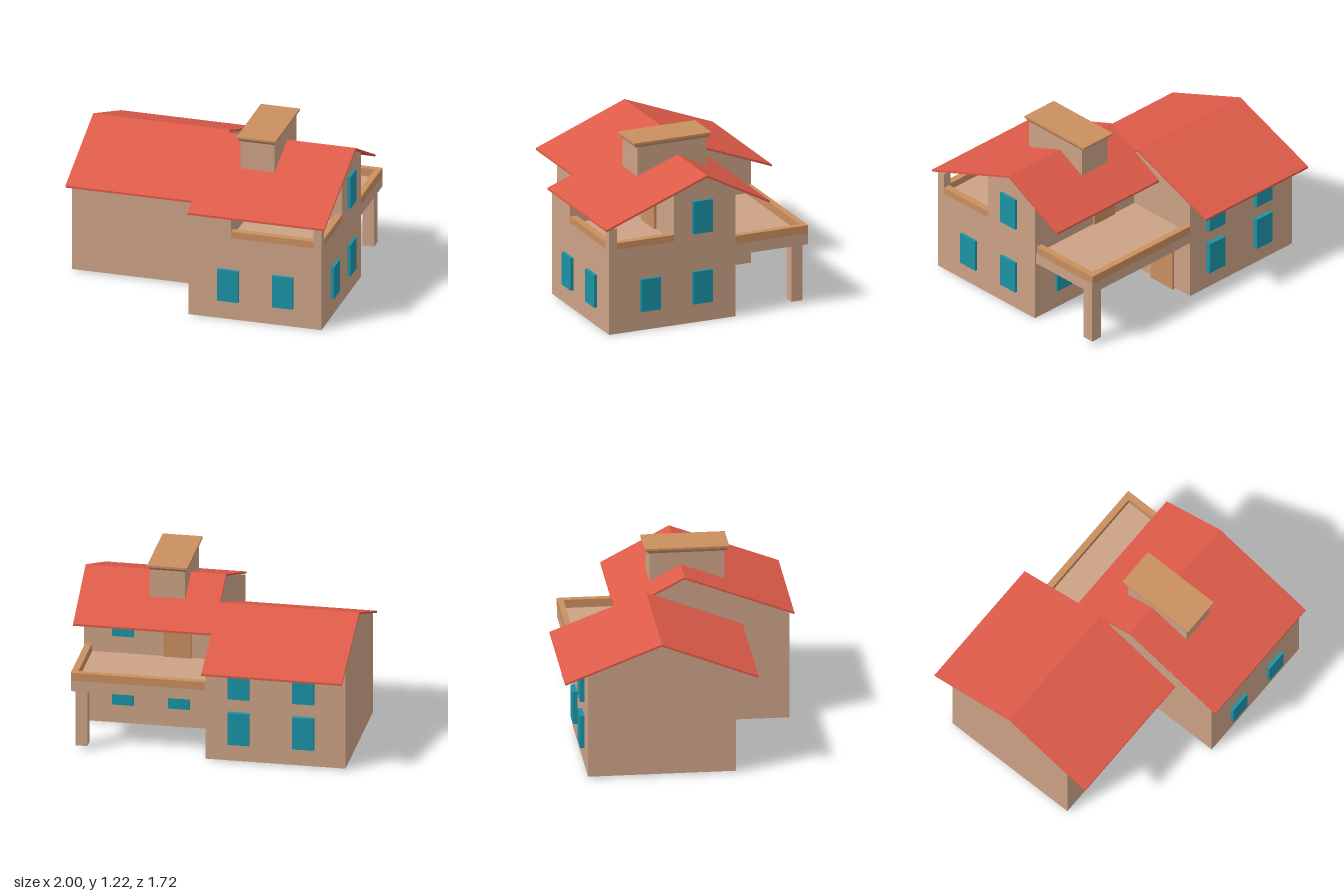
import * as THREE from 'three';

const mat = (color) => new THREE.MeshStandardMaterial({ color, side: THREE.DoubleSide, flatShading: true });

export function createModel() {
  const house = new THREE.Group();
  const wall = mat(0xcca286), wood = mat(0xc98f60), tile = mat(0xde5b49), glass = mat(0x1b93a6);

  const add = (name, geometry, material) => {
    const mesh = new THREE.Mesh(geometry, material);
    mesh.name = name;
    house.add(mesh);
    return mesh;
  };
  // Box given by its lower and upper limits
  const box = (name, material, [x0, x1], [y0, y1], [z0, z1]) => {
    const mesh = add(name, new THREE.BoxGeometry(x1 - x0, y1 - y0, z1 - z0), material);
    mesh.position.set((x0 + x1) / 2, (y0 + y1) / 2, (z0 + z1) / 2);
    return mesh;
  };
  const shape = (pts) => new THREE.Shape(pts.map(([a, b]) => new THREE.Vector2(a, b)));
  // Thin wall facing z, outlined in (x, y)
  const wallZ = (name, z, pts) => {
    add(name, new THREE.ShapeGeometry(shape(pts)), wall).position.z = z;
  };
  // Thin wall facing x, outlined in (z, y)
  const wallX = (name, x, pts) => {
    const mesh = add(name, new THREE.ShapeGeometry(shape(pts)), wall);
    mesh.rotation.y = -Math.PI / 2;
    mesh.position.x = x;
  };
  const rect = (a0, a1, b0, b1) => [[a0, b0], [a1, b0], [a1, b1], [a0, b1]];
  // Gable roof: chevron in (z, y) pulled along x
  const roof = (name, x0, x1, front, ridge, back, t) => {
    const down = ([z, y]) => [z, y - t];
    const pts = [front, ridge, back, down(back), down(ridge), down(front)];
    const geo = new THREE.ExtrudeGeometry(shape(pts), { depth: x1 - x0, bevelEnabled: false });
    geo.rotateY(-Math.PI / 2);
    geo.translate(x1, 0, 0);
    add(name, geo, tile);
  };

  // Left wing, open underneath
  const leftGable = [[-0.70, 0.01], [0.34, 0.01], [0.34, 0.765], [-0.18, 0.967], [-0.70, 0.765]];
  wallX('leftWingOuterGable', -0.998, leftGable);
  wallX('leftWingInnerGable', -0.002, leftGable);
  for (const z of [-0.70, 0.34]) wallZ('leftWingLongWall', z, rect(-0.998, -0.002, 0.01, 0.765));
  roof('leftWingRoof', -1, 0, [0.5, 0.717], [-0.18, 0.982], [-0.86, 0.717], 0.015);

  // Right wing, with its upper front corner cut away for the balcony
  wallX('rightWingInnerGable', 0, [[-0.14, 0], [0.83, 0], [0.83, 0.78], [0.09, 1.07], [-0.14, 0.948]]);
  wallX('rightWingOuterGable', 0.97, [[-0.14, 0], [0.83, 0], [0.83, 0.62], [0.33, 0.62],
    [0.33, 0.976], [0.09, 1.07], [-0.14, 0.948]]);
  wallZ('rightWingBackWall', -0.14, rect(0, 0.97, 0, 0.948));
  wallZ('rightWingFrontWall', 0.83, [[0, 0], [0.97, 0], [0.97, 0.62], [0.31, 0.62], [0.31, 0.78], [0, 0.78]]);
  roof('rightWingRoof', 0, 1, [0.863, 0.79], [0.09, 1.085], [-0.392, 0.83], 0.015);

  // Corner balcony
  wallZ('balconyBackWall', 0.33, rect(0.31, 0.97, 0.62, 0.975));
  wallX('balconySideWall', 0.31, [[0.33, 0.62], [0.83, 0.62], [0.83, 0.78], [0.33, 0.975]]);
  box('balconyFloor', wall, [0.31, 0.968], [0.61, 0.62], [0.33, 0.828]);
  box('balconyFrontParapet', wood, [0.31, 0.91], [0.62, 0.67], [0.78, 0.83]);
  box('balconySideParapet', wood, [0.92, 0.97], [0.62, 0.67], [0.33, 0.77]);
  box('balconyPost', wall, [0.91, 0.97], [0.62, 0.783], [0.77, 0.83]);
  box('balconyDoor', wood, [0.45, 0.67], [0.62, 0.93], [0.325, 0.348]);

  // Rear terrace on one pillar
  box('terraceSlab', wall, [0, 0.958], [0.45, 0.53], [-0.703, -0.142]);
  box('terraceBackParapet', wood, [0, 0.958], [0.53, 0.59], [-0.705, -0.66]);
  box('terraceSideParapet', wood, [0.91, 0.958], [0.53, 0.59], [-0.66, -0.148]);
  box('terracePillar', wall, [0.845, 0.93], [0.03, 0.45], [-0.675, -0.59]);
  box('terraceDoor', wood, [0.2, 0.4], [0.53, 0.92], [-0.155, -0.135]);
  box('rearDoor', wood, [-0.01, 0.015], [0, 0.40], [-0.54, -0.32]);

  // Chimney with a flared cap
  box('chimney', wall, [0.25, 0.5], [0.955, 1.18], [-0.13, 0.4]);
  const flare = new THREE.BoxGeometry(0.28, 0.025, 0.585);
  const p = flare.attributes.position;
  for (let i = 0; i < p.count; i++) {
    if (p.getY(i) < 0) p.setXYZ(i, p.getX(i) * 0.9, p.getY(i), p.getZ(i) * 0.93);
  }
  flare.computeVertexNormals();
  add('chimneyFlare', flare, wood).position.set(0.373, 1.19, 0.134);
  box('chimneyCap', wood, [0.23, 0.515], [1.202, 1.217], [-0.165, 0.43]);

  // Windows
  const windowZ = (x, y, z0, z1) => box('window', glass, [x - 0.076, x + 0.076], [y, y + 0.24], [z0, z1]);
  const windowX = (z, y) => box('window', glass, [0.965, 0.99], [y, y + 0.24], [z - 0.076, z + 0.076]);
  for (const x of [0.29, 0.69]) {
    windowZ(x, 0.14, 0.825, 0.853);
    windowZ(x, 0.14, -0.157, -0.135);
  }
  windowZ(0.69, 0.66, -0.157, -0.135);
  for (const x of [-0.24, -0.70]) for (const y of [0.14, 0.485]) windowZ(x, y, -0.732, -0.699);
  windowX(0.515, 0.14);
  windowX(0.115, 0.14);
  windowX(0.115, 0.66);

  return house;
}
